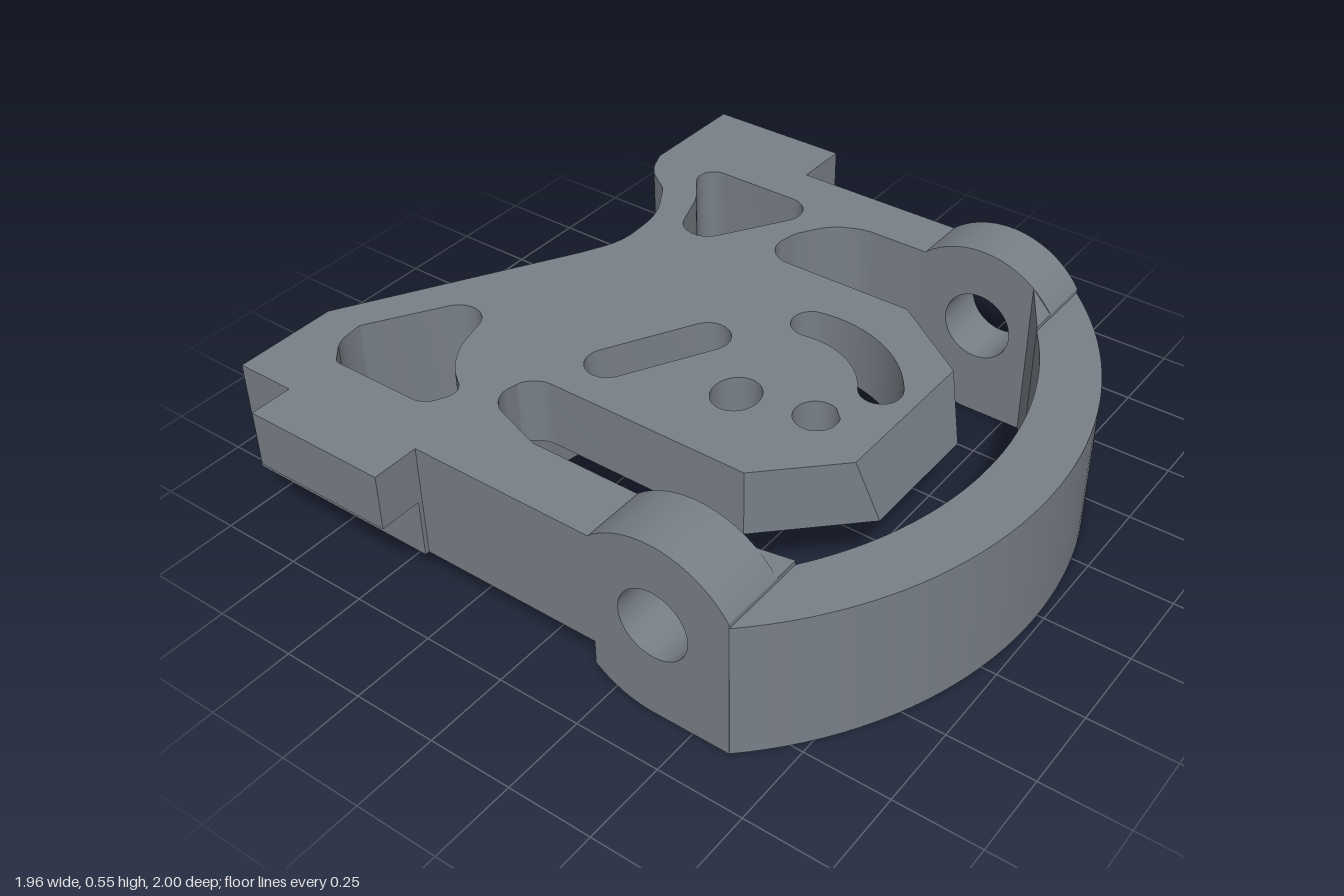
import * as THREE from 'three';
import { toCreasedNormals } from 'three/addons/utils/BufferGeometryUtils.js';

const TOP = 0.485, PLATE_BOTTOM = 0.14, SLAB_BOTTOM = 0.285;
const EAR = { x: 0.38, y: 0.277, r: 0.277 };
const material = new THREE.MeshStandardMaterial({ color: 0x787f87 });

// Closed plan outline from [x, z, filletRadius] corners (shape y is -z)
function rounded(corners) {
  const pts = [];
  const n = corners.length;
  corners.forEach(([x, z, r = 0], i) => {
    const c = new THREE.Vector2(x, -z);
    if (!r) { pts.push(c); return; }
    const near = [corners[(i + n - 1) % n], corners[(i + 1) % n]];
    const [p, q] = near.map(k => new THREE.Vector2(k[0], -k[1]).sub(c));
    const half = Math.acos(THREE.MathUtils.clamp(p.dot(q) / p.length() / q.length(), -1, 1)) / 2;
    // A fillet may use half of an edge shared with another fillet
    const room = [p, q].map((e, k) => e.length() * (near[k][2] ? 0.49 : 0.98));
    const d = Math.min(r / Math.tan(half), ...room);
    const a = p.setLength(d).add(c), b = q.setLength(d).add(c);
    const w = Math.sin(half);
    for (let k = 0; k <= 10; k++) {
      const t = k / 10, u = (1 - t) ** 2, v = 2 * w * t * (1 - t), s = t * t;
      pts.push(new THREE.Vector2(a.x * u + c.x * v + b.x * s, a.y * u + c.y * v + b.y * s)
        .divideScalar(u + v + s));
    }
  });
  return pts;
}

// Slot of radius r following an arc or a line of centre points (x, z)
function slot(path, r) {
  const n = path.length - 1;
  const left = [], right = [], caps = [[], []];
  path.forEach(([x, z], i) => {
    const a = path[Math.max(i - 1, 0)], b = path[Math.min(i + 1, n)];
    const ang = Math.atan2(-(b[1] - a[1]), b[0] - a[0]);
    const at = o => new THREE.Vector2(x + r * Math.cos(ang + o), -z + r * Math.sin(ang + o));
    left.push(at(Math.PI / 2));
    right.unshift(at(-Math.PI / 2));
    for (let k = 1; k < 12; k++) {
      if (i === n) caps[0].push(at(Math.PI / 2 - k * Math.PI / 12));
      if (i === 0) caps[1].push(at(-Math.PI / 2 - k * Math.PI / 12));
    }
  });
  return [...left, ...caps[0], ...right, ...caps[1]];
}

function ellipse(x, z, rx, rz) {
  return new THREE.EllipseCurve(x, -z, rx, rz, 0, Math.PI * 2).getPoints(32).slice(0, -1);
}

// Plan outline extruded upward between two heights
function planGeometry(points, y0, y1, holes = []) {
  const shape = new THREE.Shape(points);
  shape.holes = holes.map(h => new THREE.Path(h));
  return new THREE.ExtrudeGeometry(shape, { depth: y1 - y0, bevelEnabled: false })
    .rotateX(-Math.PI / 2).translate(0, y0, 0);
}

export function createModel() {
  const group = new THREE.Group();
  const add = (name, geometry) => {
    const mesh = new THREE.Mesh(toCreasedNormals(geometry, 0.45), material);
    mesh.name = name;
    group.add(mesh);
  };

  // Thick base plate with both side rails
  const plate = rounded([
    [-0.98, 0.56], [-0.98, 0.873], [-0.36, 0.873], [-0.36, 0.86], [0.2, 0.86], [0.2, 0.67],
    [-0.14, 0.67], [-0.34, 0.6, 0.08], [-0.34, 0.54], [-0.175, -0.47], [-0.165, -0.53, 0.1],
    [-0.1, -0.63, 0.15], [-0.01, -0.67, 0.15], [0.2, -0.67], [0.2, -0.833], [-0.77, -0.833],
    [-0.77, -0.66], [-0.735, -0.575, 0.15], [-0.64, -0.51, 0.1], [-0.56, -0.38, 0.25],
    [-0.55, -0.2, 0.4], [-0.61, -0.08, 0.4],
  ]);
  const backWindow = rounded([
    [-0.645, -0.69, 0.07], [-0.155, -0.69, 0.07], [-0.425, -0.26, 0.075],
    [-0.48, -0.41], [-0.52, -0.52, 0.2],
  ]);
  const frontWindow = rounded([
    [-0.64, 0.203, 0.07], [-0.59, 0.4], [-0.57, 0.47, 0.2], [-0.52, 0.55, 0.2],
    [-0.425, 0.62, 0.05], [-0.475, 0.715, 0.06], [-0.79, 0.715, 0.03], [-0.85, 0.645, 0.1],
    [-0.86, 0.56, 0.02],
  ]);
  add('basePlate', planGeometry(plate, PLATE_BOTTOM, TOP, [backWindow, frontWindow]));

  // Thinner central platform with adjustment slots and a sloping nose
  const platform = rounded([
    [-0.34, 0.54], [-0.34, 0.455, 0.08], [0.36, 0.455], [0.61, 0.21], [0.61, -0.18],
    [0.31, -0.388], [-0.175, -0.388, 0.08], [-0.175, -0.47],
  ]);
  const arc = Array.from({ length: 17 }, (_, i) => {
    const a = THREE.MathUtils.lerp(-1.75, -0.52, i / 16);
    return [0.19 + 0.3 * Math.cos(a), 0.12 + 0.3 * Math.sin(a)];
  });
  const slab = planGeometry(platform, SLAB_BOTTOM, TOP, [
    slot([[-0.06, 0.04], [-0.2, 0.295]], 0.065),
    slot(arc, 0.06),
    ellipse(0.155, 0.205, 0.067, 0.075),
    ellipse(0.375, 0.16, 0.062, 0.062),
  ]);
  const pos = slab.attributes.position;
  for (let i = 0; i < pos.count; i++) {
    if (pos.getX(i) > 0.6 && pos.getY(i) > 0.4) {
      pos.setX(i, 0.56);
      pos.setZ(i, pos.getZ(i) > 0 ? 0.259 : -0.215);
    }
  }
  add('centrePlatform', slab);

  // Mounting tabs on the outer sides
  const tab = (name, x0, x1, z0, z1) => add(name,
    new THREE.BoxGeometry(x1 - x0, TOP - 0.317, z1 - z0)
      .translate((x0 + x1) / 2, (TOP + 0.317) / 2, (z0 + z1) / 2));
  tab('frontTab', -0.8, -0.36, 0.873, 1);
  tab('backTab', -0.77, -0.33, -1, -0.833);

  // Pivot ears with cross holes
  const earTop = x => EAR.y + Math.sqrt(EAR.r ** 2 - (x - EAR.x) ** 2);
  const ear = (name, z0, z1) => {
    const s = new THREE.Shape();
    const a0 = Math.atan2(earTop(0.61) - EAR.y, 0.61 - EAR.x);
    const a1 = Math.atan2(earTop(0.2) - EAR.y, 0.2 - EAR.x);
    s.moveTo(0.61, 0);
    s.lineTo(0.61, earTop(0.61));
    s.absarc(EAR.x, EAR.y, EAR.r, a0, a1, false);
    s.absarc(EAR.x, EAR.y, EAR.r, 2 * Math.PI - a1, Math.PI * 1.5, false);
    s.lineTo(0.61, 0);
    s.holes.push(new THREE.Path().absarc(0.385, 0.3, 0.105, 0, Math.PI * 2, true));
    add(name, new THREE.ExtrudeGeometry(s, { depth: z1 - z0, bevelEnabled: false, curveSegments: 32 })
      .translate(0, 0, z0));
  };
  ear('frontEar', 0.67, 0.86);
  ear('backEar', -0.833, -0.67);

  // Small gussets blending the ears into the inside of the bow
  for (const side of [1, -1]) {
    const g = planGeometry(rounded([[0.55, 0.67 * side], [0.61, 0.67 * side], [0.61, 0.593 * side]]), 0, 0.4);
    const p = g.attributes.position;
    for (let i = 0; i < p.count; i++) if (p.getY(i) > 0.2) p.setY(i, earTop(p.getX(i)));
    add(side > 0 ? 'frontGusset' : 'backGusset', g);
  }

  // Curved bow joining the two ears
  const bow = (cx, cz, r) => {
    const a = Math.acos((0.61 - cx) / r);
    return Array.from({ length: 41 }, (_, i) => {
      const t = -a + 2 * a * i / 40;
      return new THREE.Vector2(cx + r * Math.cos(t), -cz + r * Math.sin(t));
    });
  };
  add('bow', planGeometry([...bow(-0.17, 0.014, 1.15), ...bow(-0.22, 0, 1.02).reverse()], 0, 0.418));

  return group;
}
